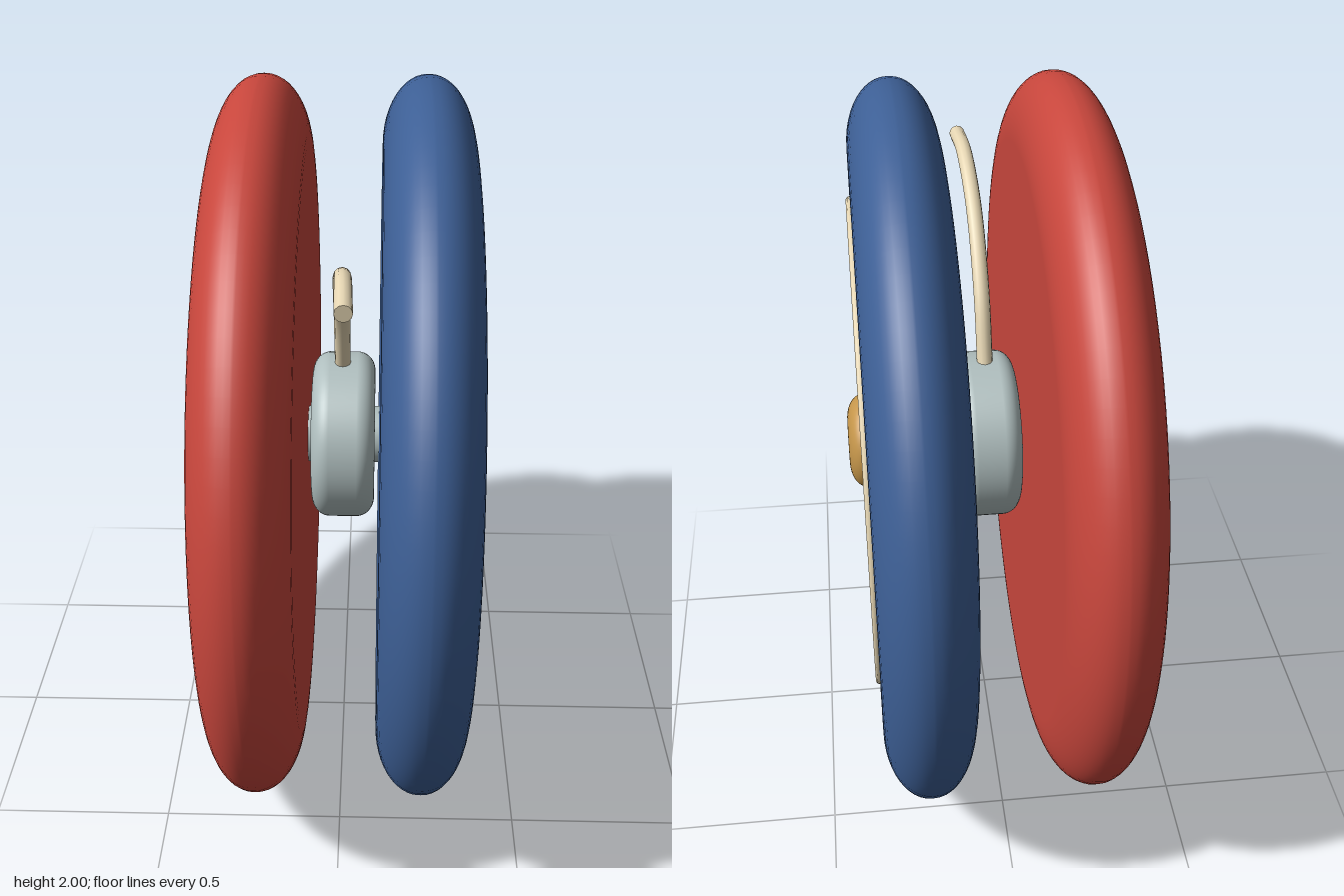
import * as THREE from 'three';

const paint = (color) => new THREE.MeshStandardMaterial({ color });

function add(parent, name, geometry, material) {
  const mesh = new THREE.Mesh(geometry, material);
  mesh.name = name;
  parent.add(mesh);
  return mesh;
}

// Solid disc turned around y from lo to hi, with elliptical rounded rims
function roundedDisc(radius, lo, hi, cornerR, cornerY, segments = 96) {
  const points = [new THREE.Vector2(0, lo), new THREE.Vector2((radius - cornerR) * 0.6, lo)];
  const corner = (y, from) => {
    for (let i = 0; i <= 12; i++) {
      const a = from + (i / 12) * Math.PI / 2;
      points.push(new THREE.Vector2(radius - cornerR + cornerR * Math.cos(a), y + cornerY * Math.sin(a)));
    }
  };
  corner(lo + cornerY, -Math.PI / 2);
  corner(hi - cornerY, 0);
  points.push(new THREE.Vector2((radius - cornerR) * 0.6, hi), new THREE.Vector2(0, hi));
  return new THREE.LatheGeometry(points, segments);
}

export function createModel() {
  const model = new THREE.Group();
  model.name = 'yoyo';
  const cream = paint(0xe6d6b3);
  const brass = paint(0xc4954a);
  const steel = paint(0xb0bfbf);

  // Two mirrored halves, each with an inlaid ring and a brass cap
  for (const [side, sign, color] of [['left', 1, 0x3d5f95], ['right', -1, 0xc7463c]]) {
    const half = new THREE.Group();
    half.name = side + 'Half';
    half.position.y = 1;
    half.rotation.z = -sign * Math.PI / 2;
    add(half, side + 'Disc', roundedDisc(1, 0.1, 0.342, 0.18, 0.118), paint(color));

    const ring = add(half, side + 'Ring', new THREE.TorusGeometry(0.674, 0.012, 10, 96), cream);
    ring.rotation.x = Math.PI / 2;
    ring.position.y = 0.342;

    add(half, side + 'Cap', roundedDisc(0.132, 0.28, 0.388, 0.07, 0.045, 48), brass);
    model.add(half);
  }

  // Central hub and the axle joining the halves
  const hub = add(model, 'hub', roundedDisc(0.236, -0.088, 0.088, 0.055, 0.05, 64), steel);
  const axle = add(model, 'axle', new THREE.CylinderGeometry(0.08, 0.08, 0.3, 32), steel);
  for (const part of [hub, axle]) {
    part.position.y = 1;
    part.rotation.z = -Math.PI / 2;
  }

  // Loose string rising from the hub and bending forward
  const path = new THREE.CatmullRomCurve3([
    new THREE.Vector3(-0.003, 1.2, 0),
    new THREE.Vector3(-0.003, 1.4, 0.09),
    new THREE.Vector3(0, 1.58, 0.26),
    new THREE.Vector3(0.008, 1.665, 0.44),
    new THREE.Vector3(0.014, 1.655, 0.615),
  ]);
  add(model, 'string', new THREE.TubeGeometry(path, 40, 0.022, 12), cream);
  const end = add(model, 'stringEnd', new THREE.CircleGeometry(0.022, 12), cream);
  end.position.copy(path.getPoint(1));
  end.lookAt(path.getPoint(1).add(path.getTangent(1)));

  return model;
}
